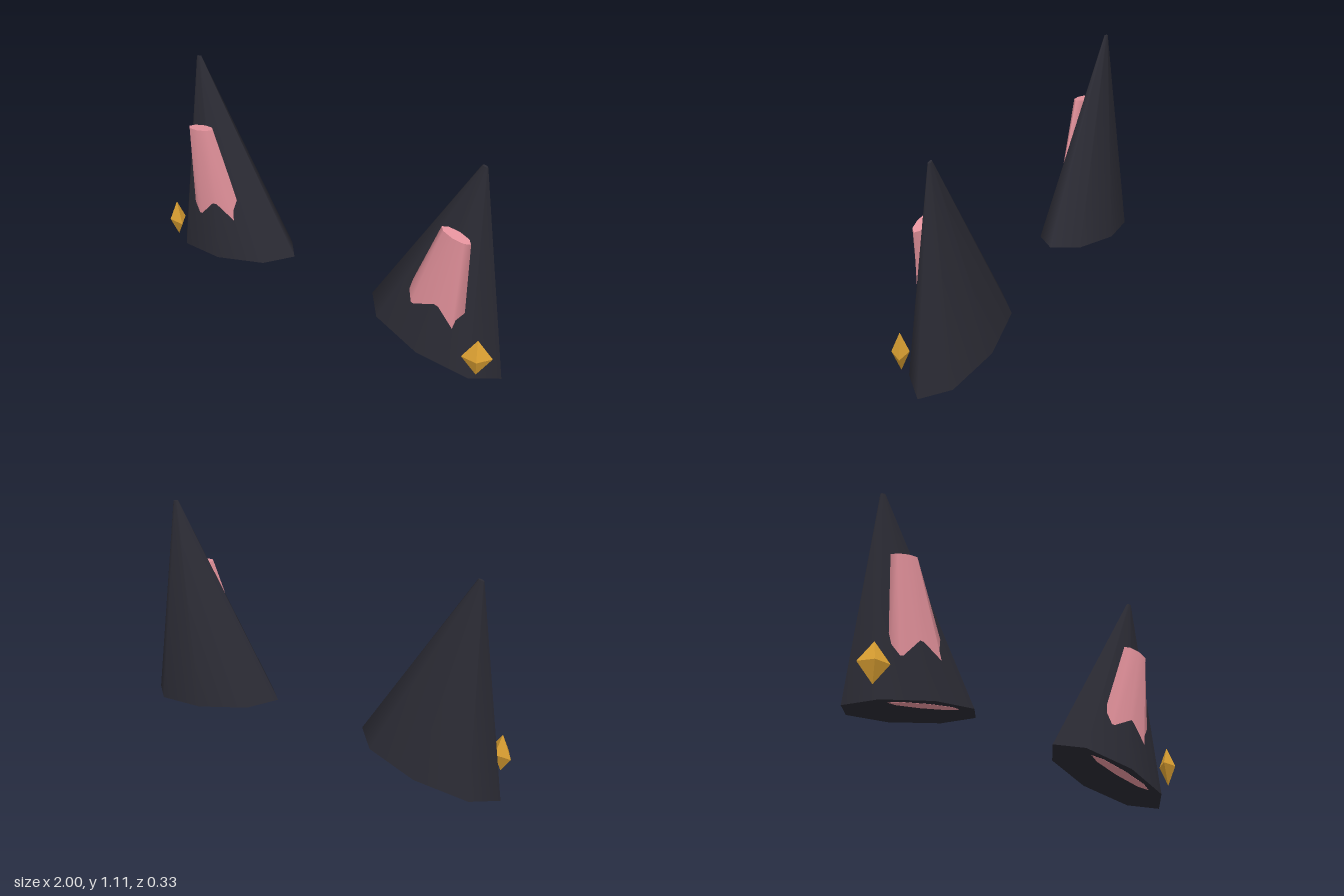
import * as THREE from 'three';

const black = new THREE.MeshStandardMaterial({ color: 0x2b2b34 });
black.name = 'charcoal';
const pink = new THREE.MeshStandardMaterial({ color: 0xe8959f });
pink.name = 'pink';
const gold = new THREE.MeshStandardMaterial({ color: 0xdba032, flatShading: true });
gold.name = 'gold';

function part(name, geometry, material) {
  const mesh = new THREE.Mesh(geometry, material);
  mesh.name = name;
  return mesh;
}

// Flattened eight-sided cone with a tiny blunt tip, standing on y = 0
function outerEarGeometry() {
  const height = 1.05;
  return new THREE.CylinderGeometry(0.015, 0.384, height, 8)
    .scale(1, 1, 0.43)
    .translate(0, height / 2, 0);
}

// Pad of even thickness whose width tapers towards the top
function innerEarGeometry() {
  const height = 0.702, bottom = 0.206, top = 0.08;
  const geometry = new THREE.CylinderGeometry(1, 1, height, 8)
    .scale(0.14, 1, 0.031)
    .translate(0, height / 2 - 0.001, 0.09);
  const pos = geometry.attributes.position;
  for (let i = 0; i < pos.count; i++) {
    const width = THREE.MathUtils.lerp(bottom, top, pos.getY(i) / height);
    pos.setX(i, pos.getX(i) * width / 0.14);
  }
  return geometry;
}

export function createModel() {
  const model = new THREE.Group();
  model.name = 'earPair';
  const outer = outerEarGeometry();
  const inner = innerEarGeometry();
  const gem = new THREE.OctahedronGeometry(1).scale(0.073, 0.1, 0.041);

  for (const [side, label] of [[1, 'left'], [-1, 'right']]) {
    // Ear leaning outwards
    const ear = new THREE.Group();
    ear.name = label + 'Ear';
    ear.position.set(side * 0.622, 0.081, 0);
    ear.rotation.z = -side * 0.2;
    ear.add(part(label + 'OuterEar', outer, black), part(label + 'InnerEar', inner, pink));

    // Upright stud beside the outer corner of the ear
    const stud = part(label + 'Stud', gem, gold);
    stud.position.set(side * 0.932, 0.18, 0.126);
    stud.rotation.y = side * 0.5;
    model.add(ear, stud);
  }
  return model;
}
